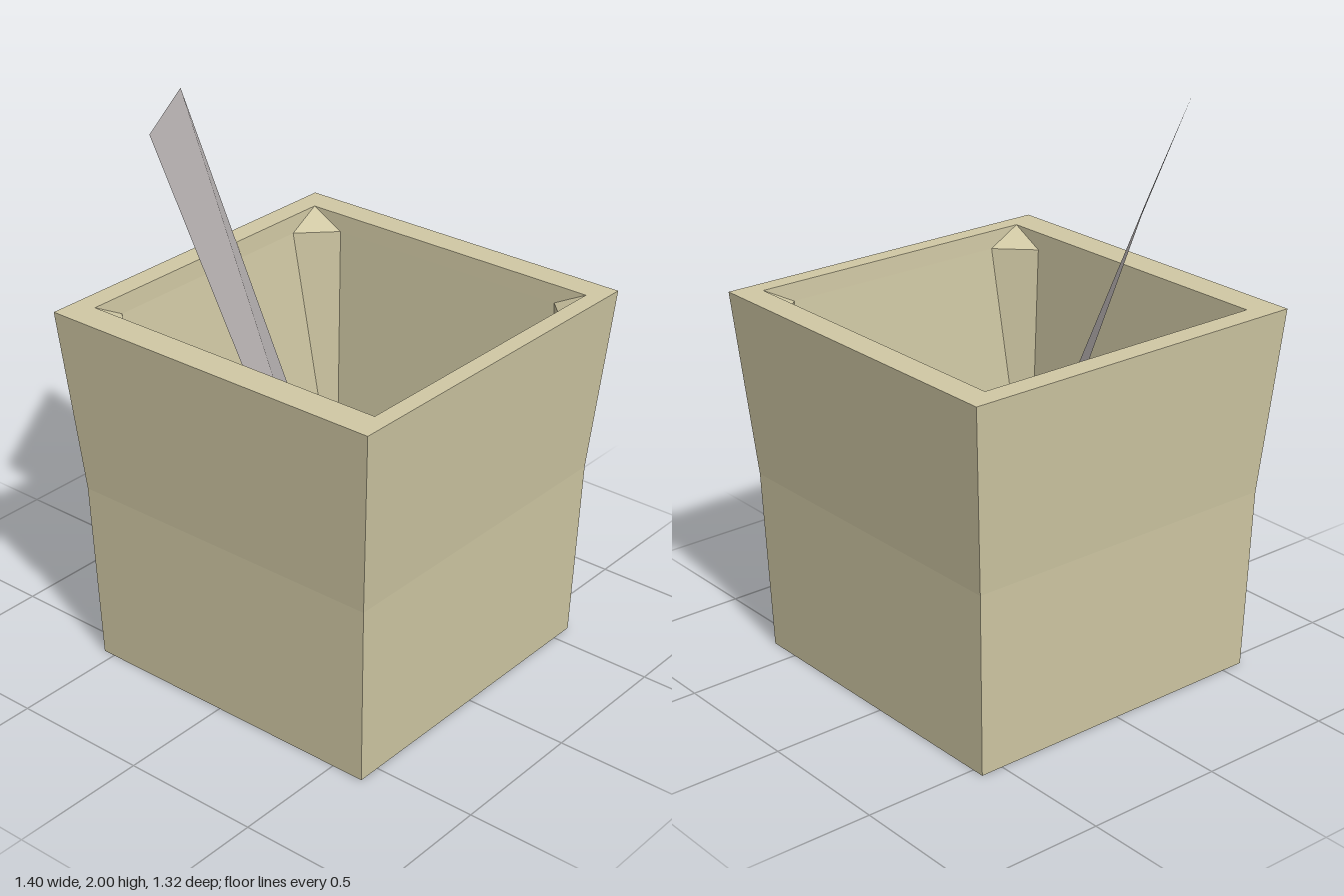
import * as THREE from 'three';

// One level of the bin: a rectangle whose four corners may be cut off.
function ring(y, x0, x1, z0, z1, cut = 0) {
  return [
    [x1 - cut, z1], [x1, z1 - cut], [x1, z0 + cut], [x1 - cut, z0],
    [x0 + cut, z0], [x0, z0 + cut], [x0, z1 - cut], [x0 + cut, z1],
  ].map(([x, z]) => new THREE.Vector3(x, y, z));
}

// Skin consecutive rings with flat faces, dropping triangles that collapse.
function loft(rings) {
  const points = [];
  const triangle = (a, b, c) => {
    if (new THREE.Triangle(a, b, c).getArea() > 1e-6) points.push(a, b, c);
  };
  for (let r = 0; r < rings.length - 1; r++) {
    const low = rings[r], high = rings[r + 1];
    for (let i = 0; i < low.length; i++) {
      const j = (i + 1) % low.length;
      triangle(low[i], low[j], high[j]);
      triangle(low[i], high[j], high[i]);
    }
  }
  const geometry = new THREE.BufferGeometry().setFromPoints(points);
  geometry.computeVertexNormals();
  return geometry;
}

export function createModel() {
  const model = new THREE.Group();

  // Square bin: base, flared outside, flat rim, tapering inside, floor
  const cx = 0.037;
  const square = (y, half) => ring(y, cx - half, cx + half, -half, half);
  const bin = new THREE.Mesh(
    loft([
      square(0, 0),
      square(0, 0.583),
      square(0.66, 0.603),
      square(1.325, 0.659),
      ring(1.325, -0.543, 0.633, -0.562, 0.549),
      ring(1.26, -0.54, 0.63, -0.56, 0.549, 0.12),
      ring(0.1, -0.413, 0.555, -0.533, 0.549),
      square(0.1, 0),
    ]),
    new THREE.MeshStandardMaterial({ color: 0xd0c8a4, flatShading: true })
  );
  bin.name = 'bin';
  model.add(bin);

  // Thin sheet leaning in the bin
  const corners = [
    [-0.7, 1.88, -0.05], [-0.195, 0.11, -0.34], [0.465, 0.12, 0.32], [-0.26, 2, 0.553],
  ].map((p) => new THREE.Vector3(...p));
  const sheetGeometry = new THREE.BufferGeometry().setFromPoints(corners);
  sheetGeometry.setIndex([0, 1, 2, 0, 2, 3]);
  sheetGeometry.computeVertexNormals();
  const sheet = new THREE.Mesh(
    sheetGeometry,
    new THREE.MeshStandardMaterial({ color: 0xc4bebe, flatShading: true, side: THREE.DoubleSide })
  );
  sheet.name = 'leaningSheet';
  model.add(sheet);

  return model;
}
